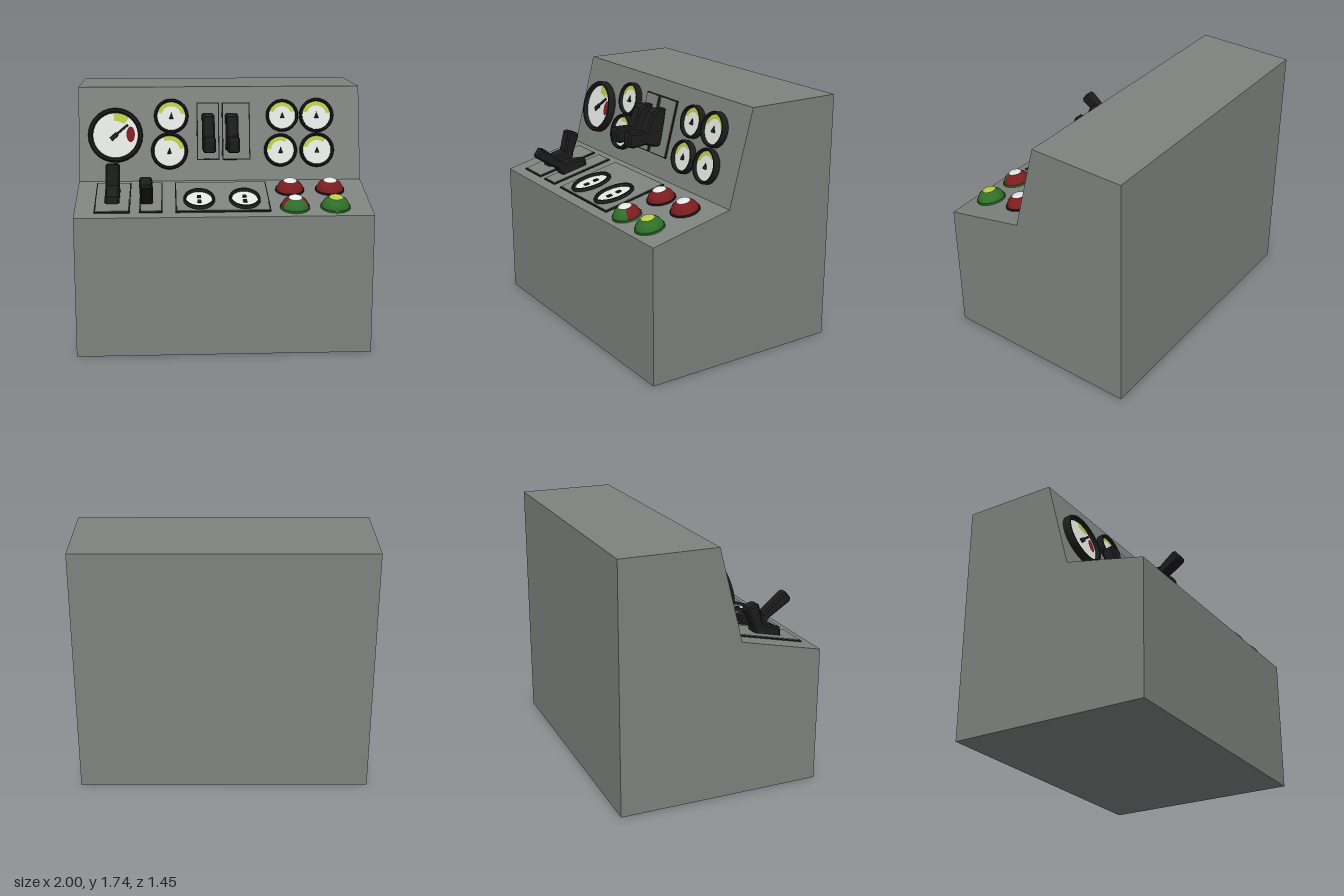
import * as THREE from 'three';
import { toCreasedNormals } from 'three/addons/utils/BufferGeometryUtils.js';

const mat = (name, color) => {
  const m = new THREE.MeshStandardMaterial({ color });
  m.name = name;
  return m;
};

export function createModel() {
  const grey = mat('console grey', 0x7e837f);
  const black = mat('black', 0x1c1c1d);
  const white = mat('dial white', 0xe4e6e4);
  const lime = mat('yellow green', 0xb9c84a);
  const red = mat('dark red', 0x7c1d20);
  const green = mat('green', 0x30702a);

  const model = new THREE.Group();
  model.name = 'controlConsole';

  const add = (parent, name, geo, material, x = 0, y = 0, z = 0) => {
    const mesh = new THREE.Mesh(geo, material);
    mesh.name = name;
    mesh.position.set(x, y, z);
    parent.add(mesh);
    return mesh;
  };

  // side profile given as [z, y], extruded along x and centred
  const sideExtrude = (pts, width, bevel = 0) => {
    const shape = new THREE.Shape(pts.map(p => new THREE.Vector2(...p)));
    const geo = new THREE.ExtrudeGeometry(shape, {
      depth: width - 2 * bevel, bevelEnabled: bevel > 0, bevelSize: bevel,
      bevelOffset: -bevel, bevelThickness: bevel, bevelSegments: 1
    });
    geo.translate(0, 0, bevel - width / 2);
    geo.rotateY(-Math.PI / 2);
    return geo;
  };

  // cabinet
  add(model, 'cabinet', sideExtrude([
    [-0.72, 0], [0.715, 0], [0.715, 0.955], [0.13, 1.09], [-0.04, 1.74], [-0.72, 1.74]
  ], 2), grey);

  // frames lying on the two sloping faces: local z is the face normal
  const deskY = z => 0.955 + (0.715 - z) * (0.135 / 0.585);
  const panelZ = y => 0.13 - (y - 1.09) * (0.17 / 0.65);
  const deskTilt = Math.atan(0.135 / 0.585) - Math.PI / 2;
  const panelTilt = -Math.atan(0.17 / 0.65);
  const mount = (name, x, y, z, tilt) => {
    const g = new THREE.Group();
    g.name = name;
    g.position.set(x, y, z);
    g.rotation.x = tilt;
    model.add(g);
    return g;
  };
  const onDesk = (name, x, z) => mount(name, x, deskY(z), z, deskTilt);
  const onPanel = (name, x, y) => mount(name, x, y, panelZ(y), panelTilt);

  // thin plate with a dark border
  const plate = (g, w, h) => {
    add(g, 'plateBorder', new THREE.BoxGeometry(w, h, 0.012), black, 0, 0, 0.003);
    add(g, 'plateFace', new THREE.BoxGeometry(w - 0.016, h - 0.016, 0.012), grey, 0, 0, 0.007);
  };

  // round instrument: raised rim and recessed white face
  const dial = (g, r, height) => {
    const inner = r * 0.82;
    const profile = [[r, 0], [r, height * 0.7], [r * 0.95, height], [r * 0.87, height], [inner, height * 0.4]];
    const rim = new THREE.LatheGeometry(profile.map(p => new THREE.Vector2(...p)), 28);
    rim.rotateX(Math.PI / 2);
    add(g, 'dialRim', toCreasedNormals(rim, 0.6), black);
    add(g, 'dialFace', new THREE.CircleGeometry(inner * 1.02, 28), white, 0, 0, height * 0.45);
    return height * 0.45;
  };
  const sector = (g, name, r0, r1, from, to, material, z) => {
    const d = Math.PI / 180;
    add(g, name, new THREE.RingGeometry(r0, r1, 16, 1, from * d, (to - from) * d), material, 0, 0, z);
  };

  // main gauge with coloured zones and a long needle
  const main = onPanel('mainGauge', -0.74, 1.405);
  const mainFace = dial(main, 0.193, 0.05);
  sector(main, 'limeZone', 0.1, 0.158, 52, 95, lime, mainFace + 0.003);
  const spot = add(main, 'redZone', new THREE.CircleGeometry(0.03, 16), red, 0.107, 0.005, mainFace + 0.003);
  spot.scale.y = 1.85;
  const needle = add(main, 'needle', new THREE.BoxGeometry(0.15, 0.016, 0.008), black, 0.03, 0.025, mainFace + 0.008);
  needle.rotation.z = 0.7;
  const tail = add(main, 'needleTail', new THREE.BoxGeometry(0.06, 0.032, 0.008), black, -0.01, -0.01, mainFace + 0.008);
  tail.rotation.z = 0.7;

  // small gauges: x, y, radius, start and end of the lime arc
  for (const [x, y, r, a, b] of [
    [-0.345, 1.535, 0.122, 10, 165], [-0.36, 1.295, 0.131, 10, 115],
    [0.445, 1.535, 0.115, 20, 160], [0.69, 1.535, 0.122, 10, 165],
    [0.43, 1.295, 0.117, 60, 175], [0.69, 1.295, 0.122, 50, 165]
  ]) {
    const g = onPanel('smallGauge', x, y);
    const z = dial(g, r, 0.045);
    sector(g, 'limeArc', r * 0.57, r * 0.82, a, b, lime, z + 0.003);
    add(g, 'needleHub', new THREE.ConeGeometry(0.017, 0.045, 6), black, 0, 0.002, z + 0.006);
  }

  // panel switches with hooked handles
  const switchProfile = [
    [0.03, 1.56], [0.10, 1.565], [0.14, 1.545], [0.18, 1.45], [0.20, 1.42], [0.325, 1.425],
    [0.335, 1.4], [0.33, 1.325], [0.3, 1.315], [0.2, 1.325], [0.13, 1.3], [0.07, 1.3]
  ].reverse();
  for (const [px, w, lx] of [[-0.085, 0.16, -0.085], [0.115, 0.2, 0.082]]) {
    plate(onPanel('switchPlate', px, 1.43), w, 0.41);
    add(model, 'panelSwitch', sideExtrude(switchProfile, 0.088, 0.012), black, lx);
  }

  // desk levers on their plates
  plate(onDesk('leverPlate', -0.75, 0.41), 0.24, 0.48);
  plate(onDesk('leverPlate', -0.49, 0.41), 0.155, 0.48);
  add(model, 'rearwardLever', sideExtrude([
    [0.33, 1.03], [0.53, 0.985], [0.52, 1.06], [0.46, 1.095], [0.39, 1.11],
    [0.355, 1.25], [0.33, 1.255], [0.275, 1.235], [0.27, 1.21], [0.315, 1.1]
  ], 0.098, 0.012), black, -0.752);
  const forward = add(model, 'forwardLever', sideExtrude([
    [0.33, 1.03], [0.52, 0.99], [0.57, 1.055], [0.725, 1.155], [0.73, 1.18],
    [0.695, 1.225], [0.67, 1.22], [0.52, 1.095], [0.44, 1.105], [0.34, 1.1]
  ], 0.085, 0.012), black, -0.52);
  forward.name = 'forwardLever';

  // pair of oval meters on a wide plate
  plate(onDesk('meterPlate', -0.005, 0.41), 0.64, 0.48);
  for (const x of [-0.163, 0.148]) {
    const g = onDesk('ovalMeter', x, 0.475);
    const z = dial(g, 0.108, 0.036);
    g.scale.y = 1.42;
    for (const y of [-0.027, 0.027])
      add(g, 'meterMark', new THREE.BoxGeometry(0.026, 0.024, 0.008), black, 0, y, z + 0.004);
  }

  // lamp domes: two halves that may differ in colour, and a bright cap
  const dome = [[0.098, 0], [0.094, 0.02], [0.078, 0.05], [0.046, 0.073]].map(p => new THREE.Vector2(...p));
  const lamp = (x, z, front, rear, cap) => {
    const g = onDesk('lamp', x, z);
    add(g, 'lampBase', new THREE.CylinderGeometry(0.102, 0.102, 0.016, 20).rotateX(Math.PI / 2),
      front === green ? green : black, 0, 0, 0.004);
    const half = (name, material, start, length) =>
      add(g, name, new THREE.LatheGeometry(dome, 12, start, length).rotateX(Math.PI / 2), material);
    half('lampFront', front, -1.1, 2.2);
    half('lampRear', rear, 1.1, 2 * Math.PI - 2.2);
    const top = new THREE.SphereGeometry(0.047, 16, 5, 0, Math.PI * 2, 0, Math.PI / 2);
    top.scale(1, 0.3, 1).rotateX(Math.PI / 2);
    add(g, 'lampCap', top, cap, 0, 0, 0.072);
  };
  lamp(0.475, 0.305, red, red, white);
  lamp(0.755, 0.305, red, red, white);
  lamp(0.48, 0.58, green, red, white);
  lamp(0.755, 0.58, green, green, lime);

  return model;
}
